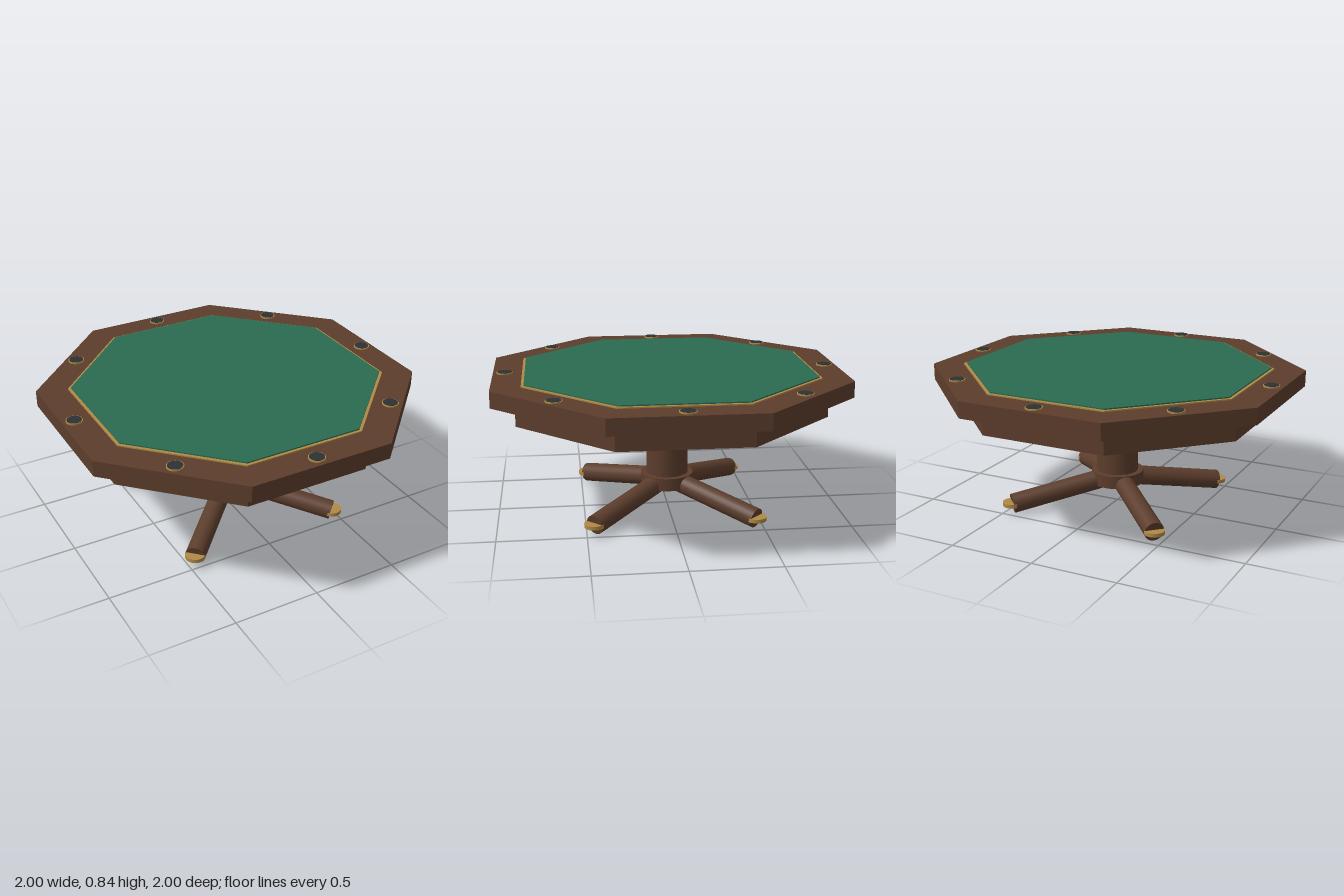
import * as THREE from 'three';

const mat = (color, flatShading = false) => new THREE.MeshStandardMaterial({ color, flatShading });
const wood = mat(0x5c3d2c);
const flatWood = mat(0x5c3d2c, true);
const brass = mat(0xb08a45);
const flatBrass = mat(0xb08a45, true);
const felt = mat(0x2b6b50, true);
const dark = mat(0x2c3133);

// Corners of an octagon with flat sides facing the axes, sized by its apothem
function octagon(apothem, Type = THREE.Shape) {
  const r = apothem / Math.cos(Math.PI / 8);
  const points = [];
  for (let i = 0; i < 8; i++) {
    const a = (i + 0.5) * Math.PI / 4;
    points.push(new THREE.Vector2(r * Math.cos(a), r * Math.sin(a)));
  }
  return new Type(points);
}

export function createModel() {
  const model = new THREE.Group();

  const add = (name, geometry, material, parent = model) => {
    const mesh = new THREE.Mesh(geometry, material);
    mesh.name = name;
    parent.add(mesh);
    return mesh;
  };

  // Octagonal slab between two heights, optionally with an octagonal opening
  const slab = (name, apothem, y0, y1, material, hole) => {
    const shape = octagon(apothem);
    if (hole) shape.holes.push(octagon(hole, THREE.Path));
    const geometry = new THREE.ExtrudeGeometry(shape, { depth: y1 - y0, bevelEnabled: false });
    geometry.rotateX(-Math.PI / 2).translate(0, y0, 0);
    return add(name, geometry, material);
  };

  // Upright round part between two heights
  const round = (name, radius, y0, y1, material, parent) => {
    const geometry = new THREE.CylinderGeometry(radius, radius, y1 - y0, 32);
    geometry.translate(0, (y0 + y1) / 2, 0);
    return add(name, geometry, material, parent);
  };

  // Table top
  slab('apron', 0.87, 0.615, 0.737, flatWood);
  slab('tableTop', 1, 0.737, 0.83, flatWood);
  slab('brassTrim', 0.834, 0.828, 0.837, flatBrass, 0.815);
  slab('feltSurface', 0.82, 0.828, 0.844, felt).scale.set(0.998, 1, 0.998);

  // Cup holders, one in the middle of each side of the rail
  for (let i = 0; i < 8; i++) {
    const cup = new THREE.Group();
    cup.name = 'cupHolder';
    const a = i * Math.PI / 4;
    cup.position.set(0.933 * Math.cos(a), 0, 0.933 * Math.sin(a));
    round('cupRim', 0.046, 0.826, 0.838, brass, cup);
    round('cupWell', 0.041, 0.828, 0.84, dark, cup);
    model.add(cup);
  }

  // Pedestal
  round('upperCollar', 0.17, 0.603, 0.617, wood);
  round('column', 0.122, 0.18, 0.61, wood);
  round('hub', 0.155, 0.13, 0.205, wood);

  // Four sloping round legs on the diagonals, each with a brass foot plate
  const start = new THREE.Vector3(0.06, 0.16, 0);
  const end = new THREE.Vector3(0.645, 0.06, 0);
  const along = end.clone().sub(start);
  for (let i = 0; i < 4; i++) {
    const leg = new THREE.Group();
    leg.name = 'leg';
    leg.rotation.y = (i + 0.5) * Math.PI / 2;
    const bar = add('legBar', new THREE.CylinderGeometry(0.057, 0.057, along.length(), 24), wood, leg);
    bar.position.copy(start).add(end).multiplyScalar(0.5);
    bar.quaternion.setFromUnitVectors(new THREE.Vector3(0, 1, 0), along.clone().normalize());
    round('footPlate', 0.058, 0.05, 0.072, brass, leg).position.x = 0.645;
    model.add(leg);
  }

  return model;
}
